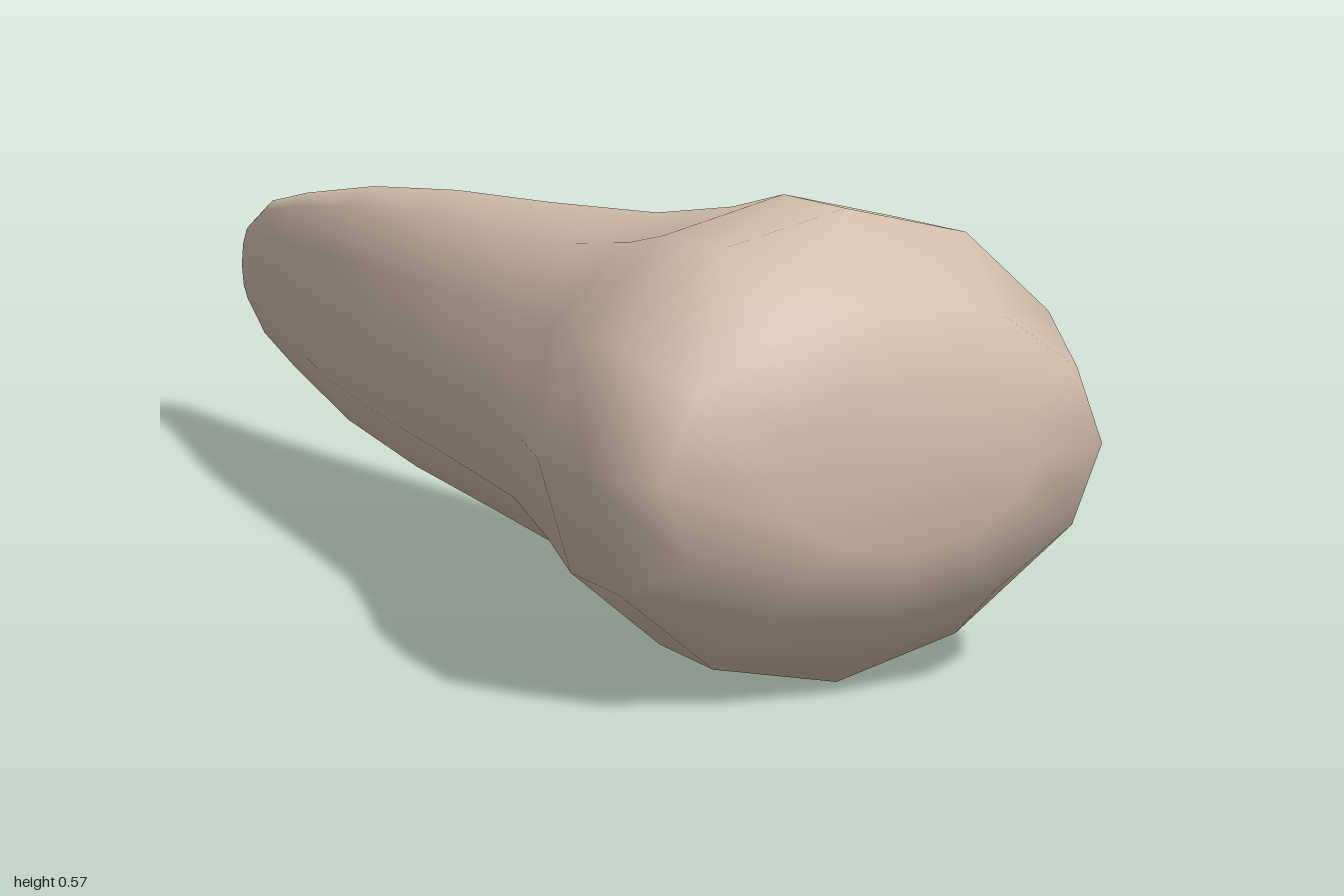
import * as THREE from 'three';

const SIDES = 12;
const MID_Y = 0.286;

// Cross-sections, front to back: [xRight, zRight, xLeft, zLeft, half height]
const RINGS = [
  [-0.18, 0.955, 0.16, 0.995, 0.10],
  [-0.31, 0.92, 0.28, 0.97, 0.19],
  [-0.355, 0.83, 0.342, 0.85, 0.284],
  [-0.345, 0.71, 0.355, 0.69, 0.286],
  [-0.30, 0.59, 0.32, 0.58, 0.259],
  [-0.24, 0.42, 0.26, 0.41, 0.234],
  [-0.19, 0.17, 0.20, 0.15, 0.222],
  [-0.145, -0.08, 0.165, -0.15, 0.212],
  [-0.09, -0.36, 0.135, -0.43, 0.190],
  [-0.01, -0.67, 0.115, -0.70, 0.150],
  [0.035, -0.85, 0.108, -0.86, 0.119],
  [0.063, -0.96, 0.106, -0.965, 0.070],
];

// Closed loft of tilted ellipses with a pole vertex at each end
function loft(rings, front, back) {
  const pos = [];
  const index = [];
  for (const [x0, z0, x1, z1, h] of rings) {
    for (let i = 0; i < SIDES; i++) {
      const a = (i / SIDES) * Math.PI * 2;
      const t = (1 + Math.cos(a)) / 2;
      pos.push(x0 + (x1 - x0) * t, MID_Y + h * Math.sin(a), z0 + (z1 - z0) * t);
    }
  }
  const f = rings.length * SIDES;
  const last = (rings.length - 1) * SIDES;
  pos.push(...front, ...back);
  for (let i = 0; i < SIDES; i++) {
    const j = (i + 1) % SIDES;
    index.push(f, i, j);
    for (let r = 0; r < last; r += SIDES) {
      index.push(r + i, r + SIDES + i, r + j);
      index.push(r + j, r + SIDES + i, r + SIDES + j);
    }
    index.push(f + 1, last + j, last + i);
  }
  const geo = new THREE.BufferGeometry();
  geo.setAttribute('position', new THREE.Float32BufferAttribute(pos, 3));
  geo.setIndex(index);
  geo.computeVertexNormals();
  return geo;
}

export function createModel() {
  const group = new THREE.Group();
  group.name = 'taperedHorn';
  const beige = new THREE.MeshStandardMaterial({ color: 0xd2bca9 });
  beige.name = 'beige';

  // Rounded head flowing into a tall, thin tip
  const body = new THREE.Mesh(loft(RINGS, [0, MID_Y, 0.978], [0.087, MID_Y, -1]), beige);
  body.name = 'body';
  group.add(body);
  return group;
}
